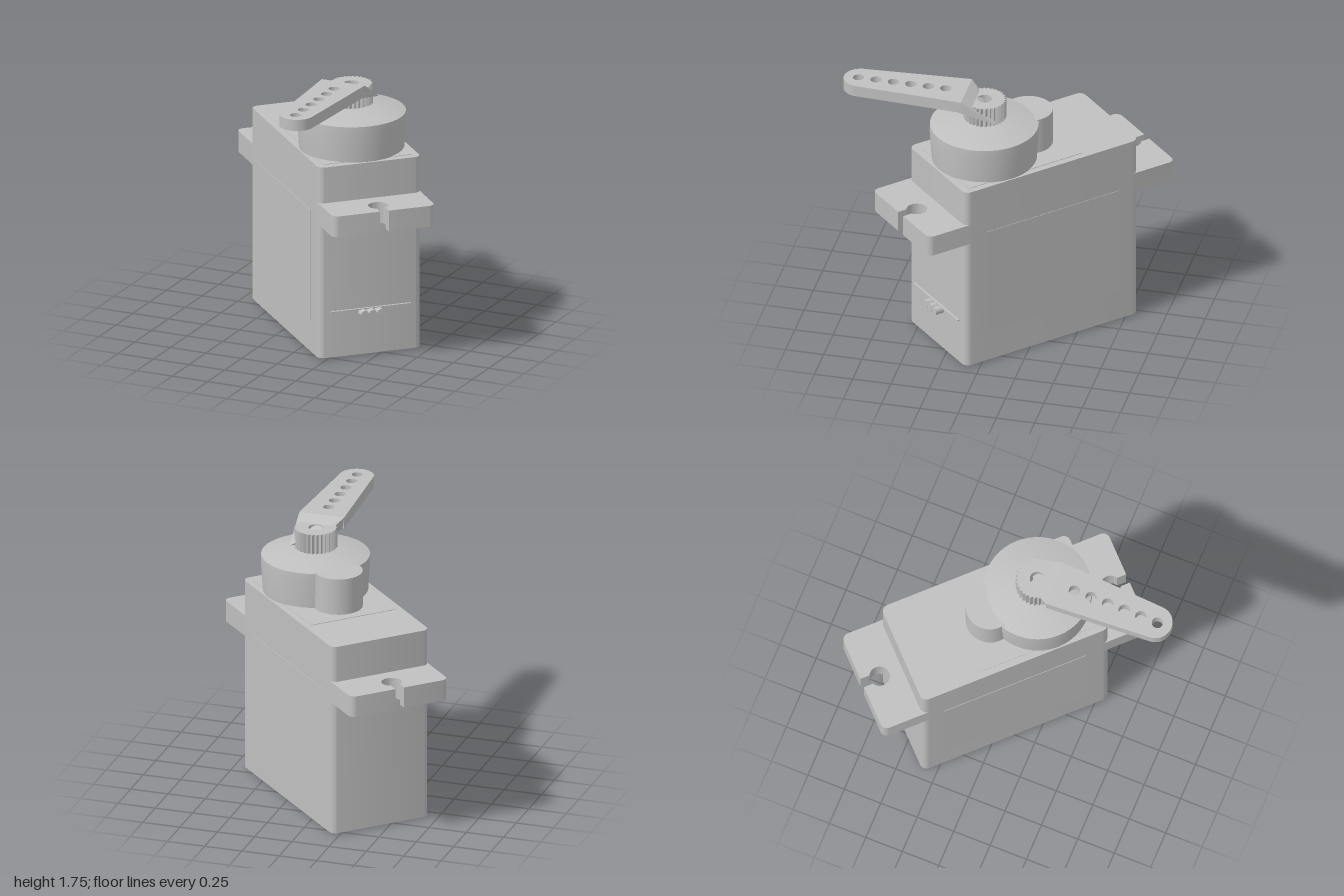
import * as THREE from 'three';
import { toCreasedNormals } from 'three/addons/utils/BufferGeometryUtils.js';
import { ConvexGeometry } from 'three/addons/geometries/ConvexGeometry.js';

const PI = Math.PI;

export function createModel() {
  const grey = new THREE.MeshStandardMaterial({ color: 0xc0c0c0 });
  grey.name = 'grey plastic';

  const add = (parent, name, geometry, x = 0, y = 0, z = 0) => {
    const mesh = new THREE.Mesh(geometry, grey);
    mesh.name = name;
    mesh.position.set(x, y, z);
    parent.add(mesh);
    return mesh;
  };
  // Plan outline (x, z) extruded downwards from its top height
  const slab = (shape, top, bottom) => {
    const g = new THREE.ExtrudeGeometry(shape, { depth: top - bottom, bevelEnabled: false, curveSegments: 20 });
    return toCreasedNormals(g.rotateX(PI / 2).translate(0, top, 0), 0.5);
  };
  const hole = (x, y, r) => new THREE.Path().absarc(x, y, r, 0, PI * 2, true);

  // Rounded rectangle, optionally with a keyhole slot in each short end
  const plan = (hl, hw, r, slots) => {
    const s = new THREE.Shape();
    const hx = 0.795, R = 0.065, half = 0.03, a = Math.asin(half / R);
    s.moveTo(-hl + r, -hw);
    for (const [side, turn] of [[1, 0], [-1, PI]]) {
      s.absarc(side * (hl - r), side * (r - hw), r, turn - PI / 2, turn, false);
      if (slots) {
        s.lineTo(side * hl, -side * half);
        s.absarc(side * hx, 0, R, turn - a, turn + a, true);
        s.lineTo(side * hl, side * half);
      }
      s.absarc(side * (hl - r), side * (hw - r), r, turn, turn + PI / 2, false);
    }
    return s;
  };

  const model = new THREE.Group();
  model.name = 'servoMotor';

  // Everything but the arm is laid out along a diagonal
  const housing = new THREE.Group();
  housing.name = 'housing';
  housing.rotation.y = -PI / 4;
  housing.position.z = -0.125;
  model.add(housing);

  add(housing, 'case', slab(plan(0.643, 0.345, 0.045, false), 1.29, 0.01));
  add(housing, 'mountingFlange', slab(plan(0.915, 0.345, 0.045, true), 1.05, 0.91));
  add(housing, 'bottomPlate', slab(plan(0.22, 0.12, 0.02, false), 0.011, 0));
  add(housing, 'topPlate', slab(plan(0.42, 0.3, 0.01, false), 1.293, 1.289), 0.17);
  for (const side of [1, -1]) {
    add(housing, 'labelPanel', new THREE.BoxGeometry(0.98, 0.74, 0.006), -0.01, 0.59, side * 0.345);
  }

  // Gearbox: large turret with a sloping lid, and a small side lobe
  const turret = [[0.335, 1.285], [0.348, 1.48], [0.346, 1.53], [0.14, 1.58], [0, 1.58]]
    .map(([r, y]) => new THREE.Vector2(r, y));
  add(housing, 'gearTurret', toCreasedNormals(new THREE.LatheGeometry(turret, 48), 0.4), 0.293);
  add(housing, 'gearLobe', new THREE.CylinderGeometry(0.155, 0.155, 0.25, 32), -0.035, 1.41, 0);

  // Splined output shaft with a screw hole
  const teeth = 30, spline = new THREE.Shape();
  for (let i = 0; i < teeth * 2; i++) {
    const t = (i / (teeth * 2)) * PI * 2, r = i % 2 ? 0.124 : 0.138;
    spline[i ? 'lineTo' : 'moveTo'](r * Math.cos(t), r * Math.sin(t));
  }
  spline.closePath();
  spline.holes.push(hole(0, 0, 0.047));
  add(housing, 'outputShaft', slab(spline, 1.71, 1.55), 0.29);

  // Cable exit: thin lip above three wires
  add(housing, 'cableLip', new THREE.BoxGeometry(0.03, 0.008, 0.54), 0.643, 0.316, 0);
  for (let i = -1; i <= 1; i++) {
    const wire = new THREE.CylinderGeometry(0.027, 0.027, 0.1, 16).rotateZ(PI / 2);
    add(housing, 'wire', wire, 0.65, 0.29, i * 0.054);
  }

  // Control arm pointing to the front, with a row of holes
  const arm = new THREE.Group();
  arm.name = 'controlArm';
  arm.position.x = 0.205;
  model.add(arm);
  const blade = new THREE.Shape();
  blade.moveTo(-0.15, 0.2);
  blade.lineTo(0.15, 0.2);
  blade.absarc(0, 0.89, 0.11, 0, PI, false);
  blade.closePath();
  for (let i = 0; i < 6; i++) blade.holes.push(hole(0, 0.335 + i * 0.114, 0.036));
  add(arm, 'armBlade', slab(blade, 1.75, 1.675));

  // Sloping root joining the blade to the shaft
  const root = [
    [-0.15, 1.75, 0.2], [0.15, 1.75, 0.2], [-0.15, 1.675, 0.22], [0.15, 1.675, 0.22],
    [0.14, 1.61, -0.03], [0.02, 1.6, 0.1], [-0.08, 1.68, 0.1],
  ].map((p) => new THREE.Vector3(...p));
  add(arm, 'armRoot', new ConvexGeometry(root));

  return model;
}
